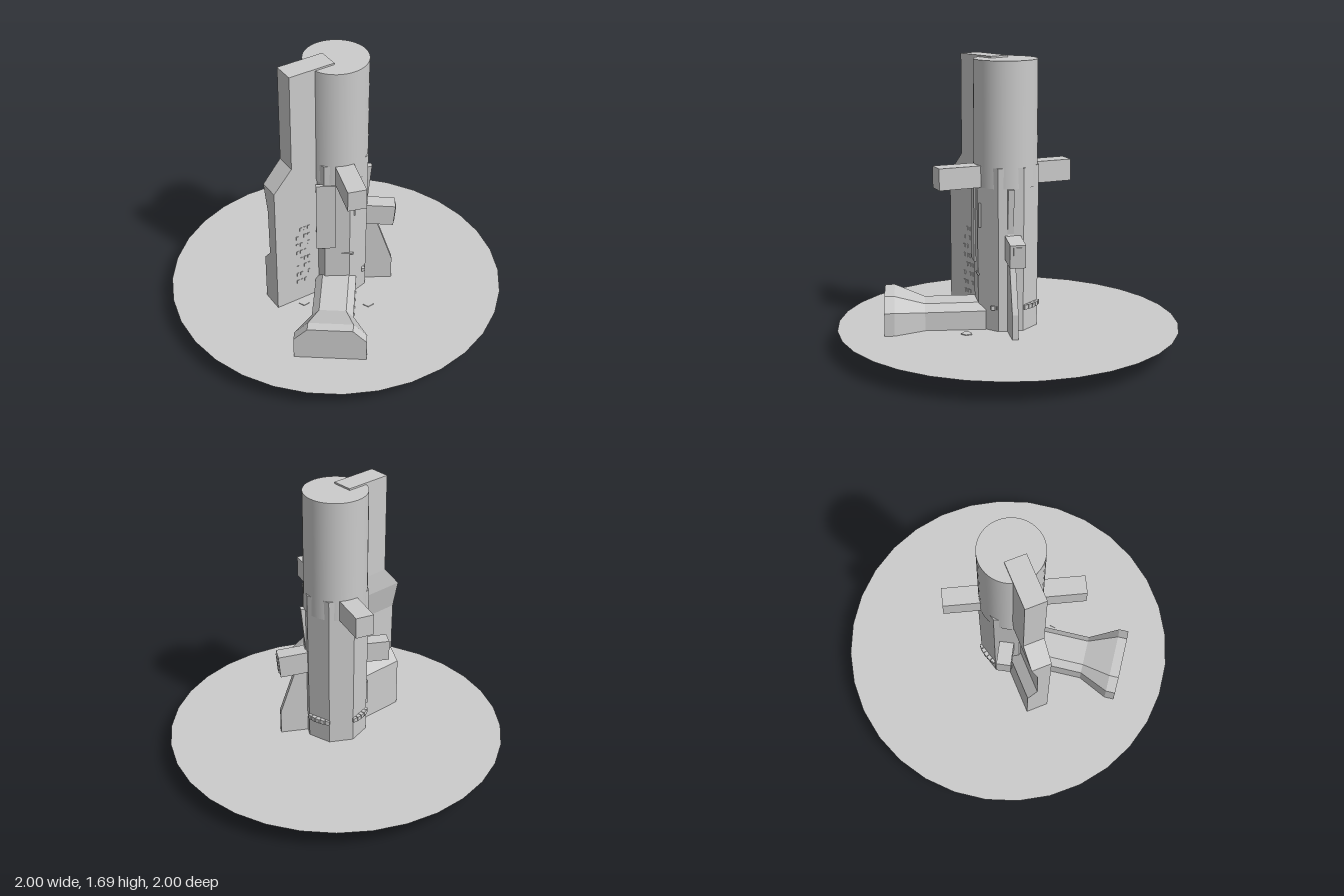
import * as THREE from 'three';

const grey = new THREE.MeshStandardMaterial({ color: 0xcccccc, side: THREE.DoubleSide });
const flat = new THREE.MeshStandardMaterial({ color: 0xcccccc, side: THREE.DoubleSide, flatShading: true });

// Skin a closed solid through rings that all have the same number of points
function loft(rings) {
  const n = rings[0].length, pos = rings.flat(2), index = [];
  for (let i = 0; i < rings.length - 1; i++) {
    for (let j = 0; j < n; j++) {
      const k = (j + 1) % n, a = i * n + j, b = i * n + k, c = a + n, d = b + n;
      index.push(a, b, d, a, d, c);
    }
  }
  const last = (rings.length - 1) * n;
  for (let j = 1; j < n - 1; j++) index.push(0, j + 1, j, last, last + j, last + j + 1);
  const geo = new THREE.BufferGeometry();
  geo.setAttribute('position', new THREE.Float32BufferAttribute(pos, 3));
  geo.setIndex(index);
  const out = geo.toNonIndexed();
  out.computeVertexNormals();
  return out;
}

export function createModel() {
  const root = new THREE.Group();
  const add = (name, geo, x = 0, y = 0, z = 0, parent = root, mat = flat) => {
    const mesh = new THREE.Mesh(geo, mat);
    mesh.name = name;
    mesh.position.set(x, y, z);
    parent.add(mesh);
    return mesh;
  };
  const box = (name, w, h, d, x, y, z, parent = root) =>
    add(name, new THREE.BoxGeometry(w, h, d), x, y, z, parent);
  const group = (name, x, z, turn) => {
    const g = new THREE.Group();
    g.name = name;
    g.position.set(x, 0, z);
    g.rotation.y = turn;
    root.add(g);
    return g;
  };

  // Ground disc
  add('groundDisc', new THREE.CircleGeometry(1, 32), 0, 0.125, 0).rotation.x = -Math.PI / 2;

  // Tower: round shaft above an eight-sided base
  add('shaft', new THREE.CylinderGeometry(0.184, 0.184, 0.72, 48), 0, 1.32, 0.015, root, grey);
  add('towerBase', new THREE.CylinderGeometry(0.194, 0.186, 0.96, 8, 1, false, Math.PI / 8), 0, 0.6, 0.015);

  // Broad fin; its local x runs outward from the tower, the rear side is waisted
  const fin = group('fin', 0, 0.015, Math.PI + 0.52);
  const levels = [ // height, reach, rear half width
    [0.13, 0.445, 0.07], [0.43, 0.445, 0.07], [0.5, 0.445, 0.01], [0.8, 0.445, 0.015],
    [0.97, 0.445, 0.055], [1.1, 0.33, 0.06], [1.69, 0.33, 0.06],
  ];
  add('finBody', loft(levels.map(([y, r, b]) =>
    [[0.05, y, b], [r, y, b], [r, y, -0.065], [0.05, y, -0.065]])), 0, 0, 0, fin);
  for (let row = 0; row < 8; row++) {
    for (let col = 0; col < 4; col++) {
      if ((row * 3 + col * 5) % 4 === 0) continue;
      box('finWindow', 0.014, 0.022, 0.006, 0.23 + col * 0.025, 0.27 + row * 0.055, -0.066, fin);
    }
  }

  // Long beam through the tower, with a panel below its front end
  const beam = group('beam', 0.005, 0.033, 0.232);
  box('beamBar', 0.108, 0.125, 0.815, 0, 1.022, 0, beam);
  box('frontPanel', 0.11, 0.45, 0.02, -0.066, 0.725, 0.19);
  box('verticalSlit', 0.008, 0.14, 0.012, 0.1, 0.8, 0.182);
  box('horizontalSlit', 0.07, 0.008, 0.012, 0.06, 0.45, 0.19);

  // Stub arms on both sides
  const armLeft = box('leftArm', 0.2, 0.135, 0.09, 0.242, 0.618, 0.005);
  armLeft.rotation.z = -0.09;
  const tip = box('leftArmTip', 0.02, 0.11, 0.045, 0.338, 0.61, 0.008);
  tip.rotation.z = -0.09;
  box('rightArm', 0.17, 0.125, 0.085, -0.23, 0.64, 0.015);

  // Thin buttress blade under the left arm
  const blade = new THREE.Shape([
    [0.1, 0.12], [0.335, 0.12], [0.335, 0.27], [0.245, 0.54], [0.18, 0.7], [0.205, 0.96], [0.1, 0.96],
  ].map(p => new THREE.Vector2(...p)));
  add('buttress', new THREE.ExtrudeGeometry(blade, { depth: 0.035, bevelEnabled: false }), 0, 0, 0);

  // Small fittings around the rear of the base
  box('sideBracket', 0.03, 0.15, 0.06, -0.185, 0.33, 0.05);
  for (const side of [-1, 1]) {
    for (let i = 0; i < 5; i++) {
      const a = 0.45 + i * 0.16;
      const block = box('rearBlock', 0.026, 0.026, 0.026,
        side * Math.sin(a) * 0.185, 0.265, 0.015 - Math.cos(a) * 0.185);
      block.rotation.y = -side * a;
    }
  }
  for (const z of [0.085, 0.118]) box('sideBlock', 0.02, 0.022, 0.022, 0.158, 0.265, z);

  // Entrance tunnel with chamfered roof, flaring to a wide mouth
  const tunnel = group('entranceTunnel', 0.01, 0, -0.1);
  const section = (z, w, low, high, cut) => [
    [-w, low, z], [w, low, z], [w, high - cut, z], [w - cut, high, z], [cut - w, high, z], [-w, high - cut, z],
  ];
  add('tunnelBody', loft([
    section(0.14, 0.12, 0.09, 0.278, 0.042),
    section(0.49, 0.12, 0.09, 0.275, 0.042),
    section(0.665, 0.206, 0, 0.337, 0.078),
    section(0.722, 0.206, 0, 0.337, 0.078),
  ]), 0, 0, 0, tunnel);

  // Short feet through the disc beside the tunnel
  for (const [x, z] of [[-0.2, 0.245], [0.18, 0.272]]) {
    add('foot', new THREE.CylinderGeometry(0.033, 0.033, 0.064, 5), x, 0.098, z);
  }
  return root;
}
